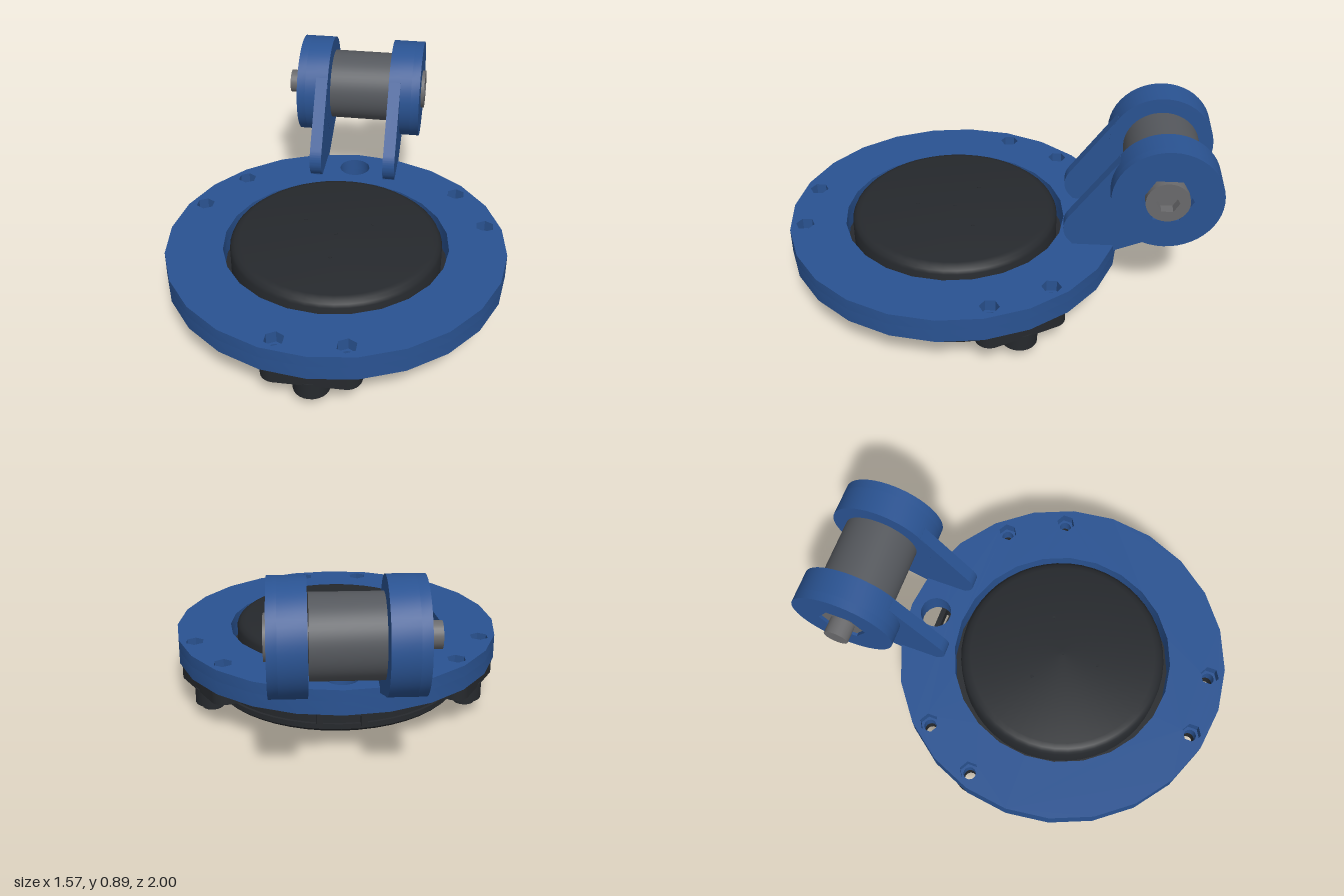
import * as THREE from 'three';
import { toCreasedNormals } from 'three/addons/utils/BufferGeometryUtils.js';

const paint = (color) => new THREE.MeshStandardMaterial({ color });
const BLUE = paint(0x2a5392), BLACK = paint(0x26292d), GREY = paint(0x55585d), STEEL = paint(0x6a6a6c);
const CZ = 0.212;              // centre of the disc in z
const PIN = { u: 0.755, v: 0.645 }; // hinge axis, u = -z, v = y

function mesh(name, geo, mat, parent) {
  const m = new THREE.Mesh(toCreasedNormals(geo, 0.6), mat);
  m.name = name;
  parent.add(m);
  return m;
}

// Regular polygon path; many sides give a circle
function ngon(x, y, r, n, Type = THREE.Path, start = 0) {
  const p = new Type();
  p.setFromPoints(Array.from({ length: n }, (_, i) => {
    const a = start + (i / n) * Math.PI * 2;
    return new THREE.Vector2(x + r * Math.cos(a), y + r * Math.sin(a));
  }));
  p.closePath();
  return p;
}

function extrude(shape, depth) {
  return new THREE.ExtrudeGeometry(shape, { depth, bevelEnabled: false, curveSegments: 12 });
}
// Flat plate between two heights; shape y is -z
const plate = (shape, y0, y1) => extrude(shape, y1 - y0).rotateX(-Math.PI / 2).translate(0, y0, 0);
// Upright slab between two x values; shape x is -z
const slab = (shape, x0, x1) => extrude(shape, x1 - x0).rotateY(Math.PI / 2).translate(x0, 0, 0);

function pinShape(r, n, hole, holeSides) {
  const s = ngon(PIN.u, PIN.v, r, n, THREE.Shape);
  if (hole) s.holes.push(ngon(PIN.u, PIN.v, hole, holeSides));
  return s;
}

// Mounting ring with screw holes, the upper layer holding hexagonal nut pockets
function addRing(parent) {
  const layer = (r, sides) => {
    const s = ngon(0, 0, 0.787, 24, THREE.Shape);
    s.holes.push(ngon(0, 0, 0.523, 24), ngon(0, 0.66, 0.075, 24));
    for (let k = 0; k < 3; k++) for (const t of [-0.15, 0.15]) {
      const a = -Math.PI / 2 + k * Math.PI * 2 / 3;
      const x = 0.7 * Math.cos(a) - t * Math.sin(a), y = 0.7 * Math.sin(a) + t * Math.cos(a);
      s.holes.push(ngon(x, y, r, sides, THREE.Path, a));
    }
    return s;
  };
  mesh('ringLower', plate(layer(0.029, 16), 0.2, 0.265), BLUE, parent);
  mesh('ringUpper', plate(layer(0.045, 6), 0.265, 0.32), BLUE, parent);
}

// Round housing clamped in the ring
function addHousing(parent) {
  const profile = [[0, 0.008], [0.565, 0.008], [0.605, 0.03], [0.62, 0.045], [0.62, 0.07], [0.607, 0.07],
    [0.607, 0.085], [0.62, 0.085], [0.62, 0.199], [0.49, 0.199], [0.49, 0.325], [0.483, 0.341],
    [0.468, 0.354], [0.445, 0.36], [0, 0.361]].map(([r, y]) => new THREE.Vector2(r, y));
  mesh('housing', new THREE.LatheGeometry(profile, 48), BLACK, parent);

  // Underside medallion and edge pads
  mesh('undersideDisc', new THREE.CylinderGeometry(0.28, 0.275, 0.01, 48).translate(0, 0.005, 0), BLACK, parent);
  for (let i = 0; i < 6; i++) {
    const pad = mesh('undersidePad', new THREE.BoxGeometry(0.12, 0.01, 0.09).translate(0, 0.009, 0.48), BLACK, parent);
    pad.rotation.y = i * Math.PI / 3;
  }

  // Small sound holes on the top
  for (const [x, z] of [[-0.16, -0.1], [0.16, -0.1], [0, 0], [0, 0.18]]) {
    mesh('topDot', new THREE.CylinderGeometry(0.008, 0.008, 0.004, 10).translate(x, 0.361, z), BLACK, parent);
  }

  // Three ears, each with two screw holes and a bossed screw
  const ear = new THREE.Shape();
  ear.moveTo(-0.26, -0.54);
  ear.lineTo(-0.214, -0.69);
  ear.absarc(-0.15, -0.7, 0.065, Math.PI, Math.PI * 1.5);
  ear.absarc(0.15, -0.7, 0.065, Math.PI * 1.5, Math.PI * 2);
  ear.lineTo(0.26, -0.54);
  ear.closePath();
  for (const x of [-0.15, 0.15]) ear.holes.push(ngon(x, -0.7, 0.029, 16));
  for (let k = 0; k < 3; k++) {
    const g = new THREE.Group();
    g.name = 'ear';
    g.rotation.y = k * Math.PI * 2 / 3;
    parent.add(g);
    mesh('earPlate', plate(ear, 0.14, 0.199), BLACK, g);
    mesh('earBoss', new THREE.CylinderGeometry(0.08, 0.08, 0.08, 24).translate(0, 0.11, 0.69), BLACK, g);
    mesh('earBridge', new THREE.BoxGeometry(0.16, 0.07, 0.12).translate(0, 0.105, 0.62), BLACK, g);
    const head = ngon(0, -0.69, 0.05, 20, THREE.Shape);
    head.holes.push(ngon(0, -0.69, 0.025, 6));
    mesh('earScrew', plate(head, 0.043, 0.071), BLACK, g);
  }

  // Clip at the back edge
  mesh('clipBar', new THREE.BoxGeometry(0.22, 0.06, 0.025).translate(0, 0.165, -0.655), BLACK, parent);
  for (const x of [-0.1, 0.1]) {
    mesh('clipProng', new THREE.BoxGeometry(0.03, 0.12, 0.08).translate(x, 0.14, -0.63), BLACK, parent);
  }
}

// Two arms with round heads, joined by a bushing and a bolt
function addHinge(parent) {
  const arm = new THREE.Shape();
  arm.moveTo(0.36, 0.25);
  arm.lineTo(0.352, 0.325);
  arm.quadraticCurveTo(0.31, 0.36, 0.31, 0.41);
  arm.quadraticCurveTo(0.312, 0.445, 0.335, 0.475);
  arm.lineTo(0.547, 0.775);
  arm.lineTo(0.755, 0.645);
  arm.lineTo(0.85, 0.421);
  arm.lineTo(0.45, 0.25);
  arm.closePath();

  for (const side of [-1, 1]) {
    const span = (s, a, b) => side > 0 ? slab(s, a, b) : slab(s, -b, -a);
    const name = side > 0 ? 'left' : 'right';
    mesh(name + 'Arm', span(arm, 0.156, 0.215), BLUE, parent);
    mesh(name + 'ArmHead', span(pinShape(0.245, 48), 0.155, 0.27), BLUE, parent);
    mesh(name + 'ArmHeadPocket', span(pinShape(0.245, 48, 0.115, 6), 0.27, 0.312), BLUE, parent);
  }
  mesh('bushing', slab(pinShape(0.177, 48), -0.15, 0.15), GREY, parent);
  mesh('axle', slab(pinShape(0.058, 24), -0.38, 0.28), STEEL, parent);
  mesh('boltHead', slab(pinShape(0.097, 32, 0.052, 6), 0.265, 0.328), STEEL, parent);
  mesh('nut', slab(pinShape(0.108, 6), -0.3, -0.265), STEEL, parent);
}

export function createModel() {
  const model = new THREE.Group();
  model.name = 'hingedMount';
  const disc = new THREE.Group();
  disc.name = 'disc';
  disc.position.z = CZ;
  model.add(disc);
  addRing(disc);
  addHousing(disc);
  const hinge = new THREE.Group();
  hinge.name = 'hinge';
  model.add(hinge);
  addHinge(hinge);
  return model;
}
